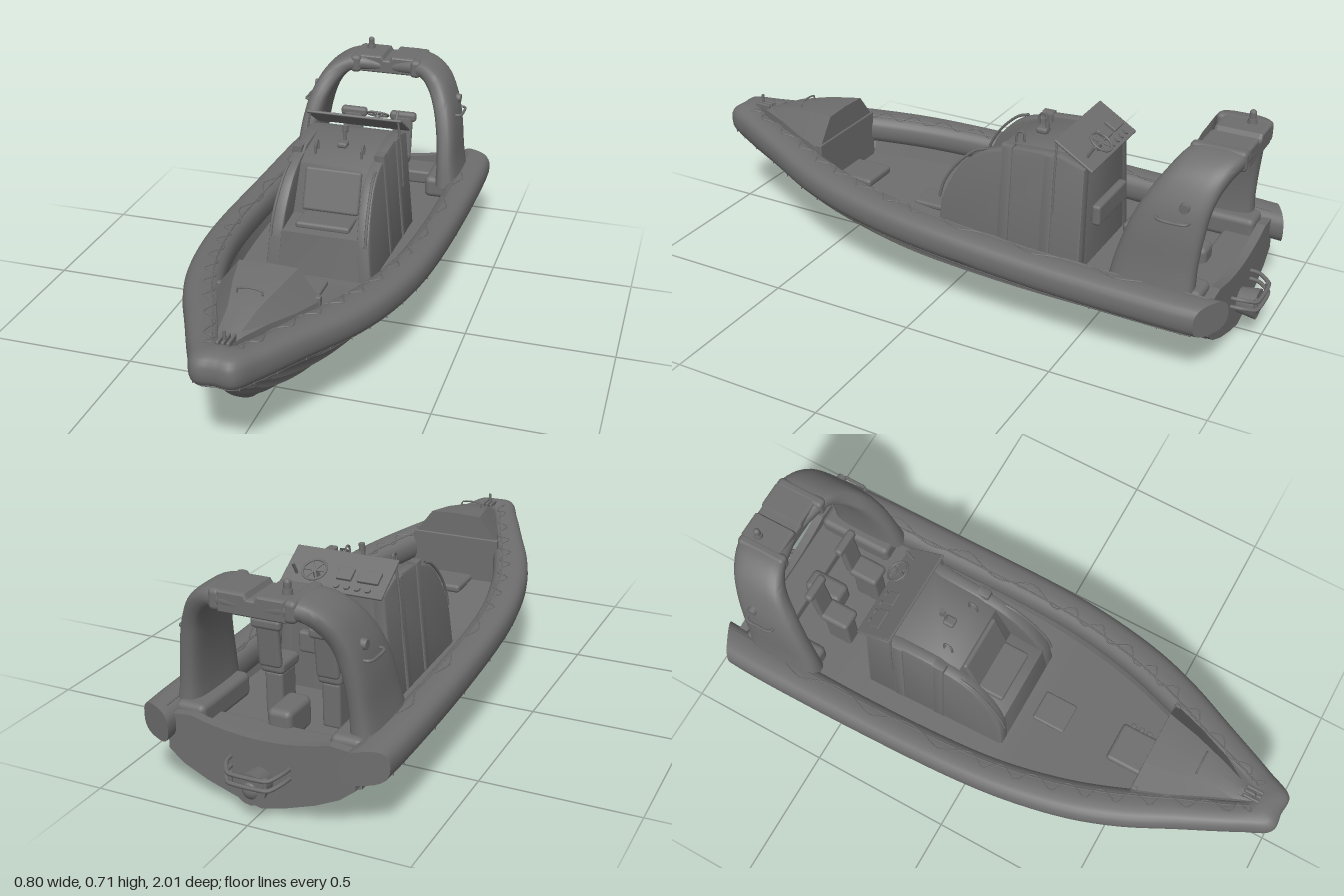
import * as THREE from 'three';
import { toCreasedNormals } from 'three/addons/utils/BufferGeometryUtils.js';
import { RoundedBoxGeometry } from 'three/addons/geometries/RoundedBoxGeometry.js';

const mat = new THREE.MeshStandardMaterial({ color: 0x6e6e6e, side: THREE.DoubleSide });
const V = (x, y, z) => new THREE.Vector3(x, y, z);
const spline = pts => new THREE.CatmullRomCurve3(pts.map(p => V(...p)), false, 'centripetal');

export function createModel() {
  const model = new THREE.Group();

  const add = (name, geo, pos = [0, 0, 0], parent = model) => {
    const m = new THREE.Mesh(geo, mat);
    m.name = name;
    m.position.set(...pos);
    parent.add(m);
    return m;
  };
  const box = (name, w, h, d, pos, r = 0.008, parent = model) =>
    add(name, new RoundedBoxGeometry(w, h, d, 2, Math.min(r, w / 2.1, h / 2.1, d / 2.1)), pos, parent);
  const pipe = (name, pts, r = 0.005, seg = 24, parent = model) =>
    add(name, new THREE.TubeGeometry(spline(pts), seg, r, 6), [0, 0, 0], parent);
  const rod = (name, r1, r2, h, pos, parent = model) =>
    add(name, new THREE.CylinderGeometry(r1, r2, h, 16), pos, parent);

  // Skin between cross-sections, optionally closed around and capped
  function loft(rings, { closed = true, caps = true, crease = 0.6 } = {}) {
    const n = rings[0].length, pos = [], idx = [];
    rings.forEach(r => r.forEach(p => pos.push(p.x, p.y, p.z)));
    for (let i = 0; i < rings.length - 1; i++)
      for (let j = 0; j < (closed ? n : n - 1); j++) {
        const a = i * n + j, b = i * n + (j + 1) % n;
        idx.push(a, b, a + n, b, b + n, a + n);
      }
    if (caps) [rings[0], rings.at(-1)].forEach((r, k) => {
      const c = r.reduce((s, p) => s.add(p), V(0, 0, 0)).divideScalar(n);
      const o = pos.length / 3;
      pos.push(c.x, c.y, c.z);
      r.forEach(p => pos.push(p.x, p.y, p.z));
      for (let j = 0; j < n; j++) {
        const a = o + 1 + j, b = o + 1 + (j + 1) % n;
        idx.push(o, k ? a : b, k ? b : a);
      }
    });
    const g = new THREE.BufferGeometry();
    g.setAttribute('position', new THREE.Float32BufferAttribute(pos, 3));
    g.setIndex(idx);
    return toCreasedNormals(g, crease);
  }
  const mirrorRings = half => [...half, ...half.slice(0, -1).reverse().map(r => r.map(p => V(-p.x, p.y, p.z)))];
  const power = (v, e) => Math.sign(v) * Math.abs(v) ** e;

  // Buoyancy tube: outer and inner edge with the height of its top
  const outer = spline([[.395, .275, -.9], [.4, .277, -.8], [.4, .287, -.4], [.39, .31, 0], [.37, .322, .2],
    [.33, .337, .4], [.275, .35, .56], [.2, .366, .72], [.11, .383, .91], [.06, .393, 1], [0, .395, 1]]);
  const inner = spline([[.27, .275, -.965], [.275, .277, -.84], [.285, .287, -.4], [.275, .31, 0], [.255, .322, .17],
    [.215, .337, .35], [.165, .35, .5], [.1, .366, .66], [.035, .383, .84], [.012, .393, .88], [0, .395, .88]]);
  const onTube = (t, a, grow = 1) => {
    const o = outer.getPoint(t), i = inner.getPoint(t), u = power(Math.cos(a), 0.75) * grow;
    const p = i.clone().lerp(o, (u + 1) / 2);
    p.y = o.y - 0.052 + 0.052 * power(Math.sin(a), 0.75) * grow;
    return p;
  };
  const tubeRings = [];
  for (let k = 0; k <= 60; k++)
    tubeRings.push(Array.from({ length: 24 }, (_, j) => onTube(k / 60, j / 24 * Math.PI * 2)));
  add('buoyancyTube', loft(mirrorRings(tubeRings), { crease: 0.7 }));

  // Planing hull with soft flutes between the spray rails
  const keel = spline([[0, .01, -.9], [0, .008, -.3], [0, .01, .1], [0, .02, .35], [0, .045, .55],
    [0, .09, .7], [0, .165, .82], [0, .23, .9], [0, .285, .95]]);
  const chine = spline([[.31, .15, -.9], [.315, .15, -.3], [.3, .17, .1], [.25, .19, .35], [.195, .215, .55],
    [.135, .24, .7], [.08, .265, .82], [.035, .285, .9], [.003, .295, .95]]);
  const rails = [[0, 0], [.12, .09], [.26, .16], [.275, .21], [.36, .33], [.46, .37], [.56, .37], [.575, .44],
    [.65, .57], [.73, .62], [.81, .63], [.825, .7], [.89, .83], [1, .91], [1, 1]];
  const hullRings = [];
  for (let k = 0; k <= 48; k++) {
    const a = keel.getPoint(k / 48), b = chine.getPoint(k / 48);
    const half = rails.map(([u, v]) => V(b.x * u, a.y + (b.y - a.y) * v, b.z));
    half.push(V(b.x + .03 * Math.min(1, b.x * 6), b.y + .04, b.z));
    hullRings.push([...half.slice(1).reverse().map(p => V(-p.x, p.y, p.z)), ...half]);
  }
  add('hull', loft(hullRings, { closed: false, caps: false, crease: 0.9 }));

  // Transom with a dipped top edge
  const ts = new THREE.Shape();
  ts.moveTo(0, .012).lineTo(.08, .032).lineTo(.174, .064).lineTo(.25, .1).lineTo(.3, .14).lineTo(.3, .255).lineTo(.22, .262);
  ts.quadraticCurveTo(0, .2, -.22, .262).lineTo(-.3, .255).lineTo(-.3, .14).lineTo(-.25, .1).lineTo(-.174, .064).lineTo(-.08, .032);
  add('transom', new THREE.ExtrudeGeometry(ts, { depth: .03, bevelEnabled: false }), [0, 0, -.92]);

  // Cockpit floor and side lining
  const floorRings = [];
  for (let k = 0; k <= 30; k++) {
    const p = inner.getPoint(k / 30 * 0.62), y = .17 + Math.max(0, p.z - .1) * .1, z = Math.max(p.z, -.9);
    floorRings.push([V(p.x + .03, p.y - .05, z), V(p.x + .01, y, z), V(-p.x - .01, y, z), V(-p.x - .03, p.y - .05, z)]);
  }
  add('cockpitFloor', loft(floorRings, { closed: false, caps: false }));
  box('floorHatch', .11, .02, .12, [0, .183, .175], .008);
  box('bowStep', .14, .03, .14, [0, .215, .475], .012);
  for (let i = 0; i < 3; i++) box('stepFitting', .018, .02, .018, [.075, .215, .44 + i * .03], .004);

  // Bow locker
  const locker = [[.54, .17, .455, .32], [.65, .13, .445, .33], [.76, .08, .425, .345], [.84, .045, .395, .35], [.9, .02, .375, .35]]
    .map(([z, w, top, low]) => [V(-w, low, z), V(-w * .97, low + .04, z), V(-w * .55, top, z), V(0, top + .004, z),
      V(w * .55, top, z), V(w * .97, low + .04, z), V(w, low, z)]);
  add('bowLocker', loft(locker, { crease: .35 }));
  box('bowBulkhead', .33, .17, .02, [0, .29, .545], .004);
  pipe('bowHandle', [[-.04, .436, .7], [-.036, .452, .7], [.036, .452, .7], [.04, .436, .7]], .003);
  for (const s of [-1, 0, 1]) box('bowFairlead', .01, .03, .06, [s * .016, .388, .89], .004);
  rod('bowPost', .005, .005, .06, [0, .4, .9]);

  // Console: shapes drawn in z and y, extruded across x and narrowed upwards
  const slab = (pts, width, x = 0) => {
    const s = new THREE.Shape(pts.map(p => new THREE.Vector2(...p)));
    const g = new THREE.ExtrudeGeometry(s, { depth: width - .016, bevelSize: .008, bevelThickness: .008, bevelSegments: 2 });
    g.translate(0, 0, -(width - .016) / 2).rotateY(-Math.PI / 2).translate(x, 0, 0);
    const p = g.attributes.position;
    for (let i = 0; i < p.count; i++)
      p.setX(i, p.getX(i) * (1.06 - .2 * (p.getY(i) - .17) / .38 - .16 * p.getZ(i)));
    return toCreasedNormals(g, .6);
  };
  const arc = new THREE.CubicBezierCurve(new THREE.Vector2(.05, .29), new THREE.Vector2(.005, .42),
    new THREE.Vector2(-.06, .5), new THREE.Vector2(-.17, .51)).getPoints(12).map(p => [p.x, p.y]);
  const side = [[.06, .17], ...arc, [-.19, .525], [-.36, .535], [-.44, .51], [-.445, .17]];
  const console_ = new THREE.Group();
  console_.name = 'console';
  model.add(console_);
  for (const s of [-1, 1]) {
    add('consoleWing', slab(side, .045, s * .155), [0, 0, 0], console_);
    // Raised ribs on the sides
    for (const z of [-.165, -.315])
      add('consoleRib', slab([[z, .18], [z, .53], [z - .025, .53], [z - .025, .18]], .04, s * .163), [0, 0, 0], console_);
    pipe('consoleRail', [[s * .165, .3, .068], [s * .163, .36, .05], [s * .158, .43, .005], [s * .152, .49, -.06], [s * .15, .505, -.1]], .005, 24, console_);
    pipe('consoleGrab', [[s * .082, .5, -.17], [s * .082, .55, -.175], [s * .082, .555, -.195], [s * .082, .52, -.2]], .004, 16, console_);
  }
  add('consoleCore', slab([[-.08, .17], [-.08, .33], [-.13, .49], [-.18, .51], [-.36, .535], [-.44, .51], [-.445, .17]], .29), [0, 0, 0], console_);
  add('frontSeat', slab([[.06, .17], [.045, .31], [-.1, .325], [-.1, .17]], .28), [0, 0, 0], console_);
  box('frontSeatCushion', .19, .025, .11, [0, .328, -.035], .01, console_);
  const back = box('frontSeatBack', .2, .15, .025, [0, .415, -.1], .01, console_);
  back.rotation.x = -.3;
  box('aftLocker', .22, .07, .03, [0, .335, -.465], .01, console_);
  rod('hornPost', .006, .006, .07, [0, .55, -.24], console_);
  box('hornLamp', .035, .02, .04, [0, .538, -.225], .008, console_);
  rod('searchLamp', .01, .01, .025, [0, .585, -.25], console_);

  // Sloping dash with wheel, screens and throttle
  const dash = new THREE.Group();
  dash.name = 'dash';
  dash.position.set(0, .556, -.41);
  dash.rotation.x = -.55;
  console_.add(dash);
  box('dashPanel', .345, .01, .155, [0, 0, 0], .004, dash);
  for (const [x, w] of [[-.11, .07], [-.03, .05]]) box('screen', w, .012, .045, [x, .01, -.01], .003, dash);
  const wheel = add('steeringWheel', new THREE.TorusGeometry(.038, .004, 8, 28), [.06, .035, -.03], dash);
  wheel.rotation.x = Math.PI / 2;
  for (let i = 0; i < 3; i++) {
    const spoke = box('wheelSpoke', .072, .004, .006, [.06, .033, -.03], .001, dash);
    spoke.rotation.y = i * Math.PI / 3;
  }
  rod('steeringColumn', .008, .012, .035, [.06, .016, -.03], dash);
  rod('throttle', .005, .005, .05, [.13, .025, -.03], dash);
  for (let i = 0; i < 4; i++) rod('gauge', .01, .01, .008, [-.12 + i * .035, .008, -.055], dash);
  for (const s of [-1, 1]) pipe('dashStay', [[s * .185, .35, -.35], [s * .175, .48, -.35], [s * .16, .595, -.35]], .004, 12, console_);

  // Helm seats
  for (const s of [-1, 1]) {
    box('seatPedestal', .06, .15, .09, [s * .095, .24, -.62], .012);
    box('seatCushion', .08, .04, .11, [s * .095, .33, -.62], .015);
    const b = box('seatBack', .075, .15, .025, [s * .095, .41, -.68], .012);
    b.rotation.x = -.1;
    box('seatHeadrest', .1, .035, .03, [s * .095, .48, -.69], .012);
  }
  box('engineBox', .08, .1, .14, [0, .22, -.74], .02);
  box('aftDeck', .5, .05, .12, [0, .195, -.845], .01);
  for (const s of [-1, 1]) box('aftLockerSide', .1, .08, .27, [s * .25, .235, -.75], .02);

  // Arch: outer x,y, inner x,y, front z, back z
  const legs = [[.325, .25, .235, .25, -.59, -.86], [.31, .33, .235, .33, -.605, -.86], [.295, .45, .222, .44, -.64, -.87],
    [.272, .54, .197, .53, -.68, -.885], [.222, .625, .165, .58, -.725, -.91], [.14, .668, .13, .606, -.755, -.932], [0, .65, 0, .608, -.79, -.935]];
  const archOut = spline(legs.map(l => [l[0], l[1], l[4]])), archIn = spline(legs.map(l => [l[2], l[3], l[5]]));
  const archRings = [];
  for (let k = 0; k <= 30; k++) {
    const o = archOut.getPoint(k / 30), i = archIn.getPoint(k / 30);
    archRings.push(Array.from({ length: 24 }, (_, j) => {
      const a = j / 24 * Math.PI * 2, u = (power(Math.cos(a), .6) + 1) / 2, v = (power(Math.sin(a), .6) + 1) / 2;
      return V(i.x + (o.x - i.x) * u, i.y + (o.y - i.y) * u, i.z + (o.z - i.z) * v);
    }));
  }
  add('arch', loft(mirrorRings(archRings), { crease: .8 }));
  // Cross beam with a notch in its top
  const beam = new THREE.Shape([[-.1, .61], [.1, .61], [.1, .664], [.022, .664], [.014, .65], [-.014, .65], [-.022, .664], [-.1, .664]]
    .map(p => new THREE.Vector2(...p)));
  add('archBeam', new THREE.ExtrudeGeometry(beam, { depth: .13, bevelSize: .006, bevelThickness: .01, bevelSegments: 2 }), [0, 0, -.925]);
  for (const s of [-1, 1]) {
    box('archCollar', .04, .066, .175, [s * .116, .638, -.848], .015);
    const lamp = rod('sideLamp', .015, .018, .03, [s * .272, .53, -.81]);
    lamp.rotation.z = s * -Math.PI / 2;
    pipe('archHandle', [[s * .27, .49, -.73], [s * .3, .49, -.735], [s * .305, .488, -.78], [s * .3, .49, -.825], [s * .27, .49, -.83]], .005);
  }
  rod('mastLightBase', .014, .016, .02, [-.085, .675, -.88]);
  add('mastLight', new THREE.CapsuleGeometry(.011, .025, 4, 12), [-.085, .69, -.88]);

  // Grab lines, rubbing strakes and lacing tabs along both sides
  for (const s of [-1, 1]) {
    const run = (n, f) => Array.from({ length: n + 1 }, (_, i) => { const p = f(i / n); return [s * p.x, p.y, p.z]; });
    pipe('grabLine', run(110, t => onTube(.1 + t * .76, 1.85 + .28 * Math.sin(t * Math.PI * 24), 1.01)), .0025, 220);
    pipe('tubeSeam', run(40, t => onTube(.03 + t * .83, 1.95)), .003, 80);
    pipe('rubbingStrake', run(60, t => onTube(.02 + t * .98, -1.0)), .004, 100);
    for (let i = 0; i < 16; i++) {
      const p = onTube(.05 + i * .055, -.75);
      box('lacingTab', .004, .014, .003, [s * p.x, p.y, p.z], .001);
    }
  }

  // Water jet, its guard frame and the intake under the hull
  const jet = rod('jetNozzle', .04, .05, .07, [0, .105, -.945]);
  jet.rotation.x = Math.PI / 2;
  add('jetBucket', new THREE.SphereGeometry(.036, 16, 12), [0, .1, -.955]);
  for (const y of [.13, .16])
    pipe('jetGuard', [[-.095, y, -.9], [-.09, y, -.95], [-.065, y - .01, -.988], [-.055, y - .01, -.993], [.055, y - .01, -.993],
      [.065, y - .01, -.988], [.09, y, -.95], [.095, y, -.9]], .007, 40);
  for (const s of [-1, 1]) rod('guardPost', .006, .006, .04, [s * .055, .135, -.987]);
  box('jetIntake', .05, .03, .2, [0, .022, -.77], .006);
  box('jetSkeg', .02, .03, .05, [0, .015, -.87], .005);

  return model;
}
